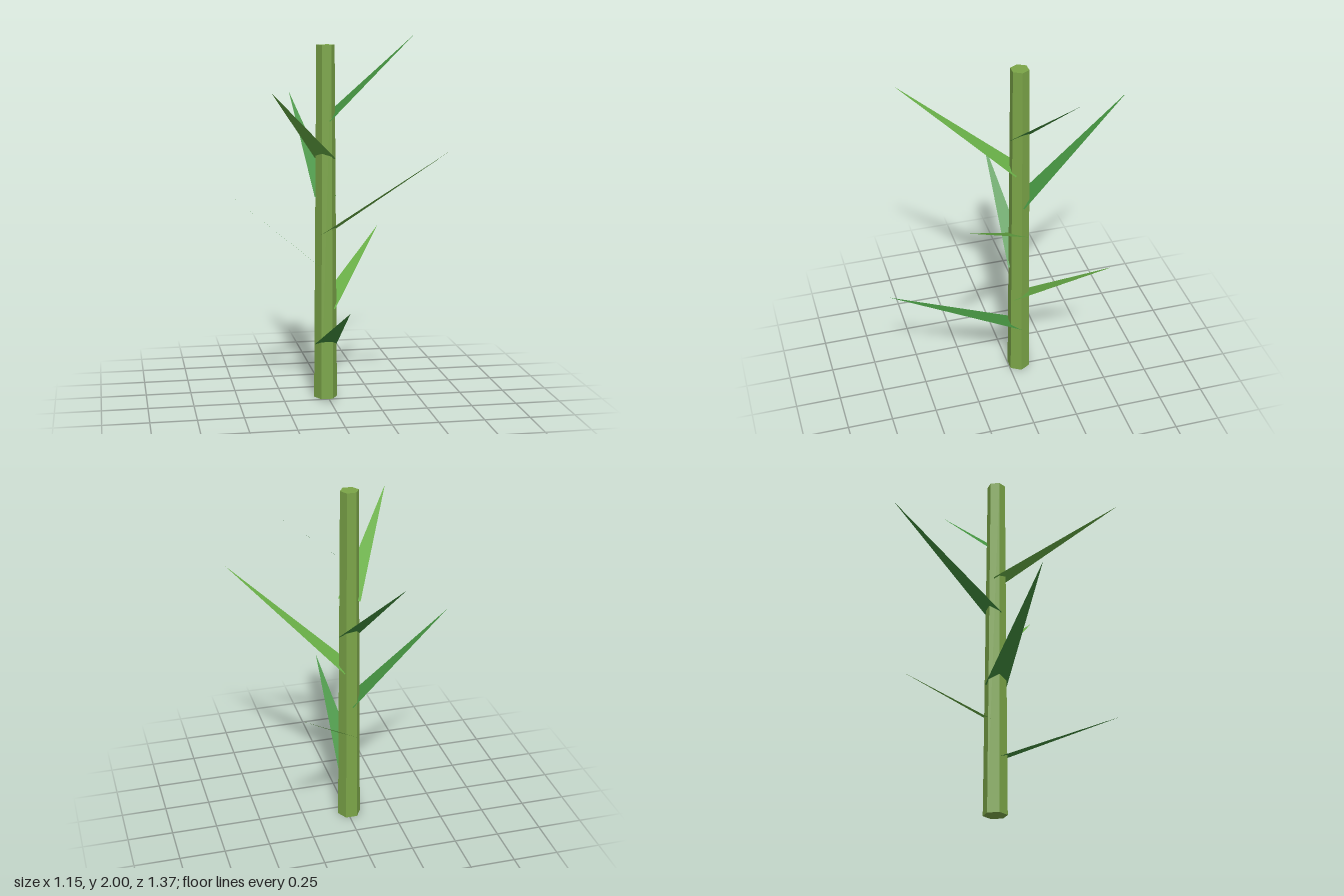
import * as THREE from 'three';

const STEM_X = -0.01, STEM_Z = -0.06, STEM_HEIGHT = 1.955;
const LEAF_HALF_WIDTH = 0.0625;

// Leaf tips from lowest to highest, evenly spaced up the stem
const TIPS = [
  [-0.01, 0.65, 0.68],
  [0.365, 0.89, -0.47],
  [-0.58, 1.195, -0.015],
  [0.57, 1.42, 0.38],
  [-0.12, 1.66, -0.69],
  [-0.38, 1.745, 0.52],
  [0.51, 2.0, -0.205],
];

// Flat triangular blade whose base crosses the stem axis
function makeLeaf(baseY, tip, material) {
  const base = new THREE.Vector3(STEM_X, baseY, STEM_Z);
  const end = new THREE.Vector3(...tip);
  const out = end.clone().sub(base).setY(0).normalize();
  const side = new THREE.Vector3(out.z, 0, -out.x).multiplyScalar(LEAF_HALF_WIDTH);
  const geometry = new THREE.BufferGeometry().setFromPoints([
    base.clone().sub(side), base.clone().add(side), end,
  ]);
  geometry.computeVertexNormals();
  return new THREE.Mesh(geometry, material);
}

export function createModel() {
  const plant = new THREE.Group();
  plant.name = 'plant';

  // Tapered six-sided stem, corners pointing along x
  const stemGeometry = new THREE.CylinderGeometry(0.05, 0.065, STEM_HEIGHT, 6);
  stemGeometry.rotateY(Math.PI / 6);
  const stem = new THREE.Mesh(stemGeometry,
    new THREE.MeshStandardMaterial({ color: 0x7ba548, flatShading: true }));
  stem.name = 'stem';
  stem.position.set(STEM_X, STEM_HEIGHT / 2, STEM_Z);
  plant.add(stem);

  // Leaves alternate between two greens
  const greens = [0x43903f, 0x68ae46].map((color) => new THREE.MeshStandardMaterial({
    color, flatShading: true, side: THREE.DoubleSide,
  }));
  TIPS.forEach((tip, i) => {
    const leaf = makeLeaf(0.3 + i * 0.208, tip, greens[i % 2]);
    leaf.name = `leaf${i + 1}`;
    plant.add(leaf);
  });

  return plant;
}
